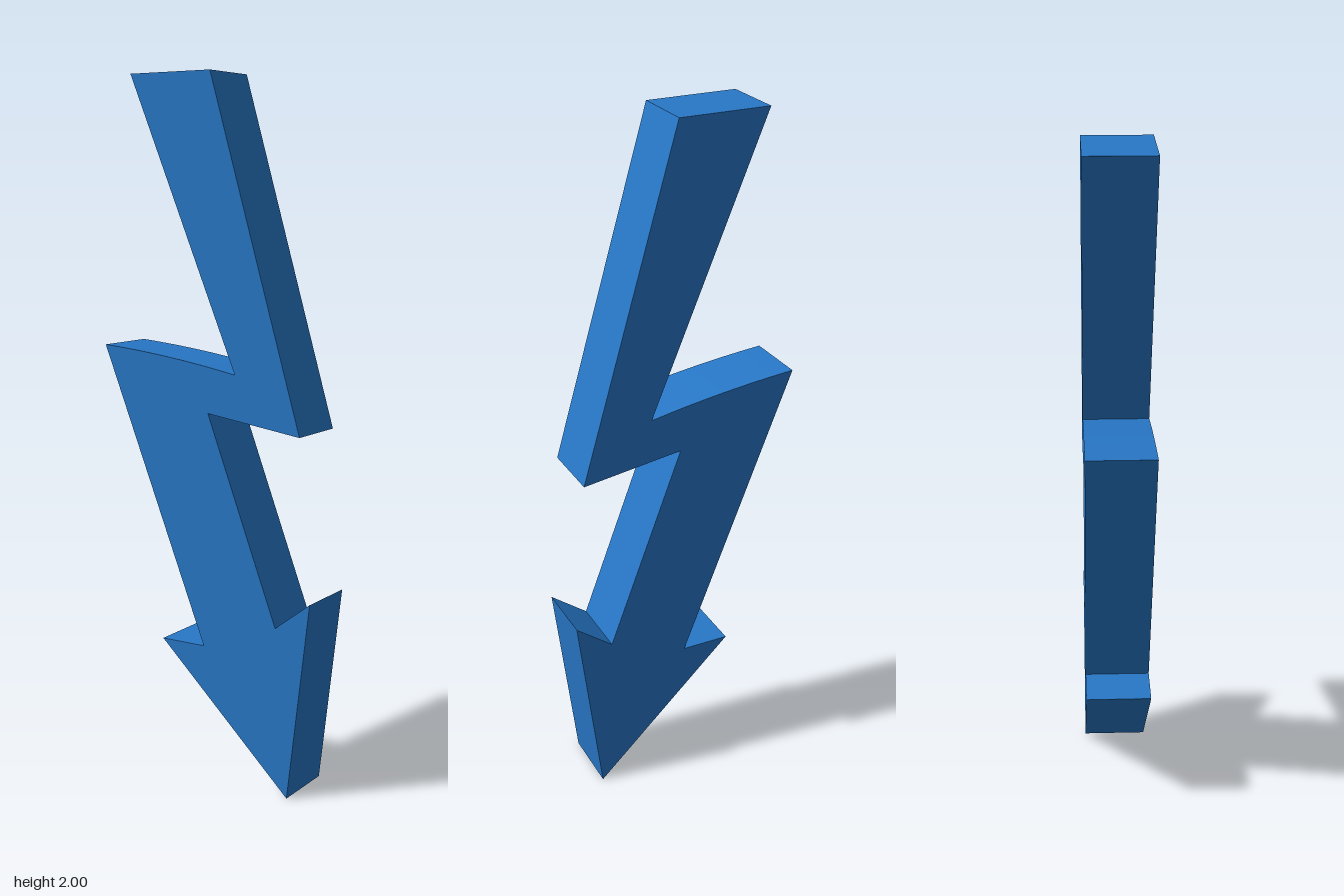
import * as THREE from 'three';

const DEPTH = 0.19;

export function createModel() {
  const group = new THREE.Group();
  group.name = 'lightningArrow';

  // Zigzag bolt outline ending in an arrowhead, counter-clockwise from the tip
  const outline = new THREE.Shape();
  outline.moveTo(0.27, 0);
  outline.lineTo(0.338, 0.57); // right barb
  outline.lineTo(0.23, 0.487);
  outline.lineTo(0.01, 1.07); // inner notch
  outline.lineTo(0.302, 1.027);
  outline.lineTo(0.018, 2); // flat top
  outline.lineTo(-0.243, 2);
  outline.lineTo(0.098, 1.183);
  outline.quadraticCurveTo(-0.115, 1.226, -0.34, 1.244); // slightly bowed shoulder
  outline.lineTo(-0.005, 0.398);
  outline.lineTo(-0.145, 0.398); // left barb
  outline.closePath();

  const geometry = new THREE.ExtrudeGeometry(outline, {
    depth: DEPTH,
    bevelEnabled: false,
    curveSegments: 8,
  });
  geometry.translate(0, 0, -DEPTH / 2);

  const bolt = new THREE.Mesh(geometry, new THREE.MeshStandardMaterial({ color: 0x2878c8 }));
  bolt.name = 'bolt';
  group.add(bolt);
  return group;
}
